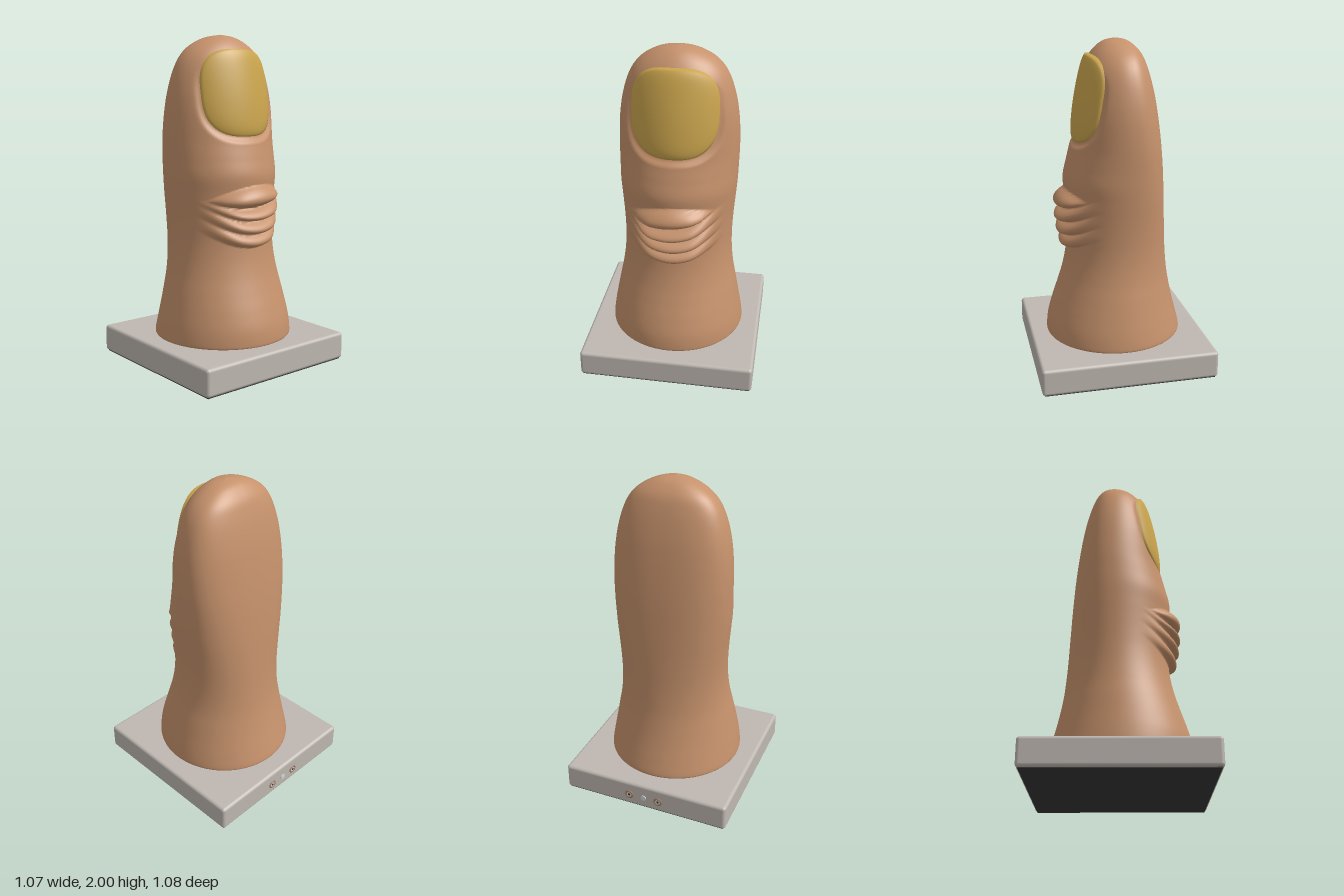
import * as THREE from 'three';
import { RoundedBoxGeometry } from 'three/addons/geometries/RoundedBoxGeometry.js';

const mat = (name, color) => Object.assign(new THREE.MeshStandardMaterial({ color }), { name });
const smooth = THREE.MathUtils.smoothstep;

// Closed-ring surface: fn(rowFraction, angle) -> [x, y, z]
function loft(rows, cols, fn) {
  const pos = [], idx = [];
  for (let i = 0; i <= rows; i++)
    for (let j = 0; j < cols; j++) pos.push(...fn(i / rows, (j / cols) * Math.PI * 2));
  for (let i = 0; i < rows; i++)
    for (let j = 0; j < cols; j++) {
      const k = (j + 1) % cols, a = i * cols + j, b = i * cols + k, c = a + cols, d = b + cols;
      idx.push(a, c, b, b, c, d);
    }
  const g = new THREE.BufferGeometry();
  g.setAttribute('position', new THREE.Float32BufferAttribute(pos, 3));
  g.setIndex(idx);
  g.computeVertexNormals();
  return g;
}

// Thumb stations: height, half width, front z, back z
const STATIONS = [
  [0.165, 0.415, 0.42, -0.415], [0.185, 0.421, 0.427, -0.421], [0.27, 0.41, 0.418, -0.4],
  [0.37, 0.392, 0.39, -0.374], [0.47, 0.373, 0.356, -0.352], [0.57, 0.353, 0.325, -0.335],
  [0.67, 0.34, 0.303, -0.324], [0.77, 0.335, 0.292, -0.316], [0.87, 0.337, 0.292, -0.31],
  [0.97, 0.343, 0.296, -0.304], [1.07, 0.351, 0.302, -0.298], [1.17, 0.358, 0.308, -0.291],
  [1.27, 0.361, 0.286, -0.283], [1.37, 0.363, 0.262, -0.273], [1.47, 0.361, 0.25, -0.261],
  [1.57, 0.354, 0.24, -0.247], [1.67, 0.339, 0.225, -0.23], [1.77, 0.313, 0.2, -0.207],
  [1.85, 0.278, 0.17, -0.183], [1.91, 0.23, 0.135, -0.158], [1.955, 0.165, 0.095, -0.122],
  [1.985, 0.09, 0.05, -0.08], [2.0, 0, -0.015, -0.015],
];
// Knuckle crease lines: height at centre, curvature, tilt
const CREASES = [[0.745, 1.3, 0], [0.825, 1.3, 0], [0.908, 1.2, 0.02], [0.988, 0.9, 0.1], [1.11, -0.9, 0.06]];
const FOLD_DEPTH = [0.05, 0.066, 0.073, 0.07];

// Nail outline and curved surface
const NAIL = { y: 1.655, r: 0.255, n: 2.9 };
const nailZ = (x, y) => 0.258 - 0.085 * Math.pow(Math.max(0, (y - 1.4) / 0.51), 1.8) - 1.5 * x * x;

function foldHeight(x, y) {
  const edge = ([h, k, tilt]) => h + k * x * x + tilt * x;
  for (let i = 0; i < FOLD_DEPTH.length; i++) {
    const lo = edge(CREASES[i]), span = edge(CREASES[i + 1]) - lo, t = (y - lo) / span;
    if (span > 0.005 && t > 0 && t < 1)
      return FOLD_DEPTH[i] * Math.min(1, span / 0.06) * Math.pow(Math.sin(Math.PI * t), 0.65)
        * (1 - smooth(Math.abs(x), 0.1, 0.31));
  }
  return 0;
}

function thumbGeometry() {
  const front = new THREE.CatmullRomCurve3(STATIONS.map(([y, w, f]) => new THREE.Vector3(w, y, f)), false, 'catmullrom');
  const back = new THREE.CatmullRomCurve3(STATIONS.map(([y, , , b]) => new THREE.Vector3(0, y, b)), false, 'catmullrom');
  return loft((STATIONS.length - 1) * 14, 144, (t, a) => {
    const p = front.getPoint(t), b = back.getPoint(t).z, c = Math.cos(a), s = Math.sin(a);
    // upper thumb is widest behind the middle, with a squarer back
    const upper = smooth(p.y, 0.5, 1.3);
    const mid = THREE.MathUtils.lerp(p.z, b, 0.5 + 0.09 * upper);
    const e = s < 0 ? 2 / (2 + 0.4 * upper) : 1;
    let x = p.x * Math.sign(c) * Math.abs(c) ** e, y = p.y;
    let z = s > 0 ? mid + (p.z - mid) * s : mid + (b - mid) * Math.abs(s) ** e;
    if (s > 0) {
      // skin folds, sagging slightly
      const d = foldHeight(x, y);
      x += d * 0.5 * c;
      z += d * s;
      y -= d * 0.25;
      // recess under the nail
      const r = Math.pow(Math.abs(x / NAIL.r) ** NAIL.n + Math.abs((y - NAIL.y) / NAIL.r) ** NAIL.n, 1 / NAIL.n);
      z += Math.min(0, nailZ(x, y) - 0.02 - z) * (1 - smooth(r, 1.0, 1.18));
    }
    return [x, y, z];
  });
}

function nailGeometry() {
  const rows = 24;
  return loft(rows, 96, (t, a) => {
    const c = Math.cos(a), s = Math.sin(a);
    const k = Math.pow(Math.abs(c) ** NAIL.n + Math.abs(s) ** NAIL.n, -1 / NAIL.n);
    const r = Math.min(1, (t * rows) / (rows - 1));
    const x = NAIL.r * r * k * c, y = NAIL.y + NAIL.r * r * k * s;
    // rounded rim, last ring tucked into the skin
    return [x, y, nailZ(x, y) - 0.012 * r ** 10 - (t === 1 ? 0.045 : 0)];
  });
}

export function createModel() {
  const group = new THREE.Group();
  const skin = mat('skin', 0xc6926c), nail = mat('nail yellow', 0xcca64e), stone = mat('base grey', 0xbfb8b1);
  const black = mat('underside black', 0x383838), copper = mat('socket copper', 0xa07c60), silver = mat('silver', 0xd4d4d4);
  const add = (name, geo, material, x = 0, y = 0, z = 0) => {
    const m = new THREE.Mesh(geo, material);
    m.name = name;
    m.position.set(x, y, z);
    group.add(m);
  };

  add('thumb', thumbGeometry(), skin);
  add('thumbnail', nailGeometry(), nail);

  // Plinth with dark underside
  add('base', new RoundedBoxGeometry(1.074, 0.165, 1.074, 4, 0.02), stone, 0, 0.0875, 0);
  add('underside', new THREE.BoxGeometry(1.045, 0.008, 1.045), black, 0, 0.004, 0);

  // Sockets on the back of the plinth
  const disc = (r, depth) => new THREE.CylinderGeometry(r, r, depth, 24).rotateX(Math.PI / 2);
  for (const x of [-0.097, 0.097]) {
    add('socketRing', new THREE.TorusGeometry(0.022, 0.007, 8, 24), copper, x, 0.08, -0.536);
    add('socketPlate', disc(0.018, 0.008), silver, x, 0.08, -0.536);
    add('socketHole', disc(0.008, 0.01), black, x, 0.08, -0.536);
  }
  add('centreStud', disc(0.018, 0.012), silver, 0, 0.08, -0.536);
  return group;
}
